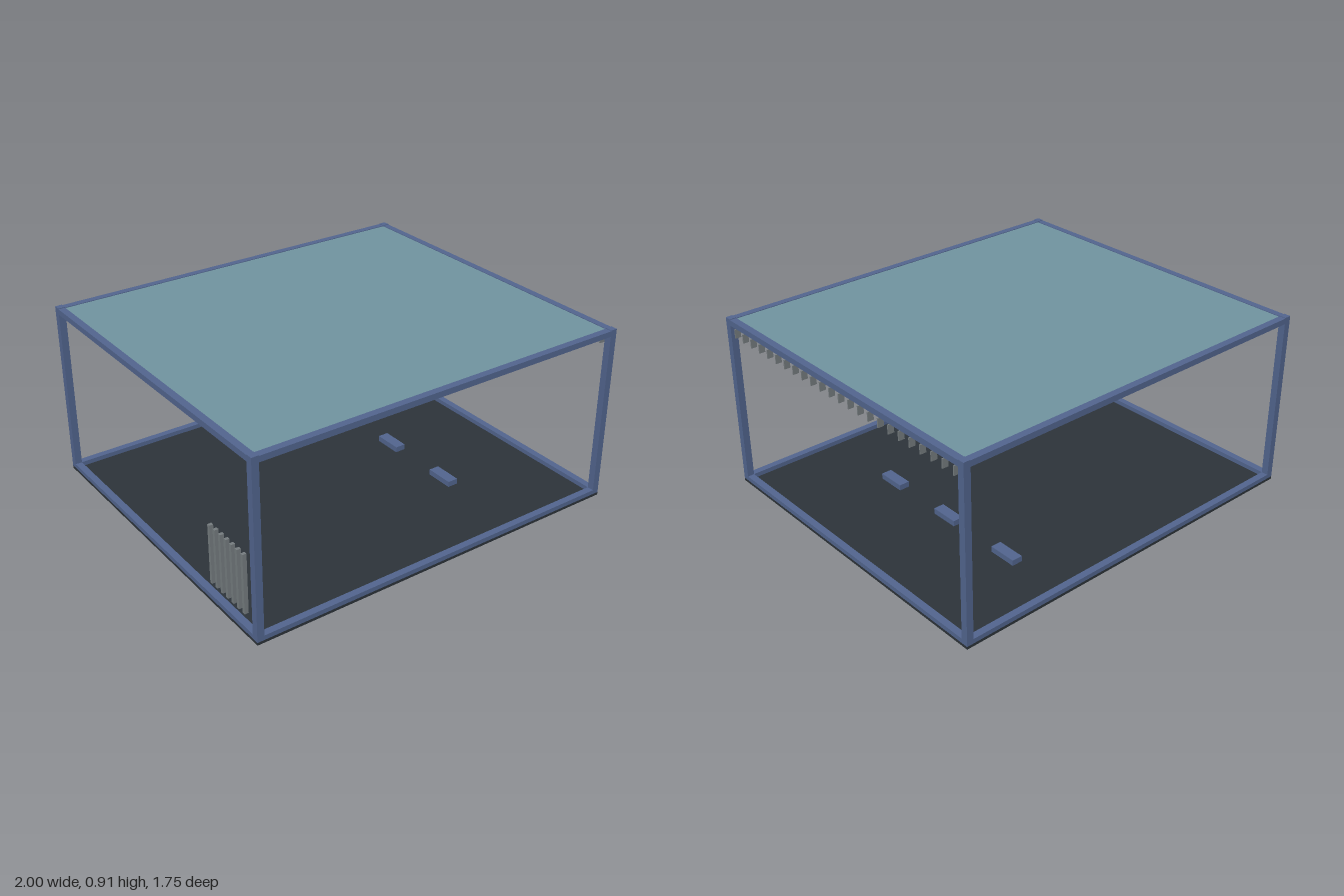
import * as THREE from 'three';

const mat = (name, color) => {
  const m = new THREE.MeshStandardMaterial({ color });
  m.name = name;
  return m;
};

export function createModel() {
  const model = new THREE.Group();
  model.name = 'openFramedCabin';

  const frame = mat('slateBlue', 0x536690);
  const roof = mat('greyTeal', 0x7296a1);
  const dark = mat('charcoal', 0x2d343a);
  const grey = mat('steelGrey', 0x777e81);

  // Box given by its low and high limits on each axis
  const box = (name, material, [x0, x1], [y0, y1], [z0, z1]) => {
    const mesh = new THREE.Mesh(new THREE.BoxGeometry(x1 - x0, y1 - y0, z1 - z0), material);
    mesh.position.set((x0 + x1) / 2, (y0 + y1) / 2, (z0 + z1) / 2);
    mesh.name = name;
    model.add(mesh);
  };
  const around = (c, size) => [c - size / 2, c + size / 2];

  const X = 1, Z = 0.875, T = 0.035;
  const xIn = X - T, zIn = Z - T;

  // Floor slab and roof panel
  box('floor', dark, [-X, X], [0.01, 0.024], [-Z, Z]);
  box('roofPanel', roof, [-xIn, xIn], [0.892, 0.908], [-zIn, zIn]);

  // Corner posts and feet
  for (const sx of [-1, 1]) {
    for (const sz of [-1, 1]) {
      box('cornerPost', frame, around(sx * (X - T / 2), T), [0.024, 0.914], around(sz * (Z - T / 2), T));
      box('foot', dark, around(sx * 0.915, 0.08), [0, 0.01], around(sz * 0.795, 0.08));
    }
  }

  // Bottom and top rails
  for (const [level, y] of [['bottom', [0.024, 0.047]], ['top', [0.882, 0.911]]]) {
    for (const s of [-1, 1]) {
      box(level + 'CrossRail', frame, [-xIn, xIn], y, around(s * (Z - T / 2), T));
      box(level + 'SideRail', frame, around(s * (X - T / 2), T), y, [-zIn, zIn]);
    }
  }

  // Row of small vent slats below the left top rail
  for (let i = 0; i < 24; i++) {
    box('ventSlat', grey, [0.967, 0.997], [0.825, 0.87], around(0.81 - (i * 1.62) / 23, 0.006));
  }

  // Upright grille bars on the right side, near the front
  for (let i = 0; i < 7; i++) {
    box('grilleBar', grey, [-0.995, -0.975], [0.105, 0.405], around(0.765 - i * 0.0437, 0.016));
  }

  // Floor blocks
  for (const z of [0.335, -0.085, -0.505]) {
    box('floorBlock', frame, [0.43, 0.485], [0.024, 0.053], around(z, 0.148));
  }

  return model;
}
